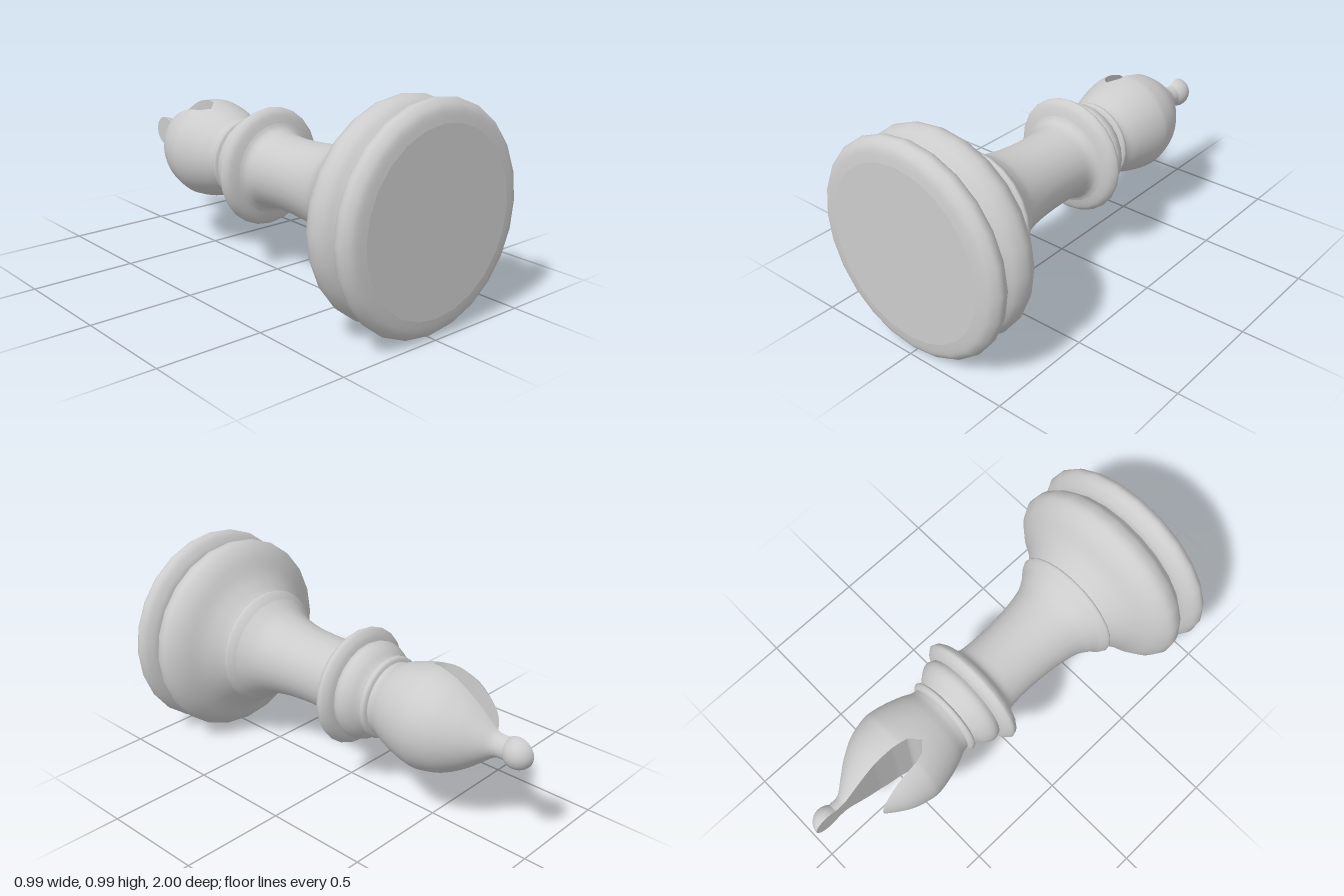
import * as THREE from 'three';

const SIDES = 24;
const material = new THREE.MeshStandardMaterial({ color: 0xcccccc, side: THREE.DoubleSide });

// Smooth curve through [radius, height] pairs
function smooth(pairs, n) {
  return new THREE.SplineCurve(pairs.map(([r, h]) => new THREE.Vector2(r, h))).getPoints(n);
}

// Piecewise linear lookup in [height, x] pairs
function lookup(table, h) {
  if (h <= table[0][0]) return table[0][1];
  for (let i = 1; i < table.length; i++) {
    const [h0, x0] = table[i - 1], [h1, x1] = table[i];
    if (h <= h1) return x0 + (x1 - x0) * (h - h0) / (h1 - h0);
  }
  return table[table.length - 1][1];
}

// Surface from rows of points: pointAt(row, t) with t from 0 to 1
function skin(rows, n, pointAt) {
  const pos = [], index = [];
  rows.forEach((row, i) => {
    for (let j = 0; j <= n; j++) {
      pos.push(...pointAt(row, j / n));
      if (i < rows.length - 1 && j < n) {
        const a = i * (n + 1) + j, b = a + n + 1;
        index.push(a, b, a + 1, b, b + 1, a + 1);
      }
    }
  });
  const g = new THREE.BufferGeometry();
  g.setAttribute('position', new THREE.Float32BufferAttribute(pos, 3));
  g.setIndex(index);
  g.computeVertexNormals();
  return g;
}

export function createModel() {
  const piece = new THREE.Group();
  piece.name = 'chessPiece';
  const add = (name, geometry) => {
    const mesh = new THREE.Mesh(geometry, material);
    mesh.name = name;
    piece.add(mesh);
  };

  // Turned sections, split where the grooves are sharp
  const sections = {
    baseBottom: [[0, -1], [0.4, -1]],
    baseRing: [[0.4, -1], [0.455, -0.99], [0.485, -0.965], [0.493, -0.94], [0.48, -0.91], [0.445, -0.885], [0.417, -0.877]],
    baseBell: [[0.417, -0.877], [0.435, -0.86], [0.465, -0.83], [0.48, -0.785], [0.468, -0.745], [0.425, -0.7], [0.345, -0.65], [0.29, -0.6], [0.265, -0.57]],
    stemFoot: [[0.265, -0.57], [0.279, -0.563], [0.28, -0.55], [0.265, -0.53], [0.25, -0.515]],
    stem: [[0.25, -0.515], [0.23, -0.485], [0.202, -0.43], [0.18, -0.32], [0.17, -0.18], [0.173, -0.05], [0.187, -0.005], [0.21, 0.012]],
    collarRing: [[0.21, 0.012], [0.255, 0.028], [0.276, 0.052], [0.274, 0.07], [0.25, 0.09], [0.222, 0.1]],
    collarBand: [[0.222, 0.1], [0.231, 0.12], [0.229, 0.145], [0.212, 0.175], [0.187, 0.2], [0.175, 0.215]],
    collarBead: [[0.175, 0.215], [0.191, 0.222], [0.194, 0.232], [0.188, 0.245], [0.172, 0.252]],
  };
  for (const [name, pairs] of Object.entries(sections)) {
    const points = smooth(pairs, pairs.length > 2 ? (pairs.length - 1) * 4 : 1);
    add(name, new THREE.LatheGeometry(points, SIDES));
  }

  // Head profile, ending in the ball at the tip
  const rows = smooth([[0.172, 0.252], [0.178, 0.28], [0.2, 0.33], [0.222, 0.4], [0.236, 0.47], [0.236, 0.52],
    [0.212, 0.61], [0.163, 0.695], [0.112, 0.76], [0.07, 0.81], [0.057, 0.835], [0.055, 0.855], [0.055, 0.881]], 96);
  for (let i = 1; i <= 16; i++) {
    const a = 2.28 * (1 - i / 16);
    rows.push(new THREE.Vector2(0.072 * Math.sin(a), 0.928 + 0.072 * Math.cos(a)));
  }

  // Slot walls: x of each wall at a given height, meeting at the slot's floor
  const rightWall = [[0.422, -0.066], [0.435, -0.05], [0.459, -0.024], [0.54, -0.008], [0.64, 0]];
  const leftWall = [[0.422, -0.066], [0.435, -0.085], [0.459, -0.108], [0.5, -0.12], [0.61, -0.125], [0.73, -0.135]];
  const edgeAngle = (p, wall) =>
    Math.acos(THREE.MathUtils.clamp(lookup(wall, p.y) / Math.max(p.x, 1e-5), -1, 1));
  const onArc = (p, a) => [p.x * Math.cos(a), p.y, p.x * Math.sin(a)];
  const leftRows = rows.filter((p) => p.x > -lookup(leftWall, p.y));

  // Outer skin on either side of the slot
  add('headMainSide', skin(rows, 48, (p, t) => onArc(p, edgeAngle(p, rightWall) * (2 * t - 1))));
  add('headSlotSide', skin(leftRows, 48, (p, t) => {
    const a = edgeAngle(p, leftWall);
    return onArc(p, a + (2 * Math.PI - 2 * a) * t);
  }));

  // Inner faces of the slot
  const face = (list, wall, dir) => skin(list.filter((p) => p.y > 0.412), 1, (p, t) => {
    const x = lookup(wall, p.y);
    const half = Math.sqrt(Math.max(0, p.x * p.x - x * x));
    return [x, p.y, dir * half * (2 * t - 1)];
  });
  add('slotMainFace', face(rows, rightWall, -1));
  add('slotInnerFace', face(leftRows, leftWall, 1));

  // Lay the piece on its side with its base to the front
  piece.rotation.x = -Math.PI / 2;
  piece.position.y = 0.493;
  const model = new THREE.Group();
  model.name = 'lyingChessPiece';
  model.add(piece);
  return model;
}
